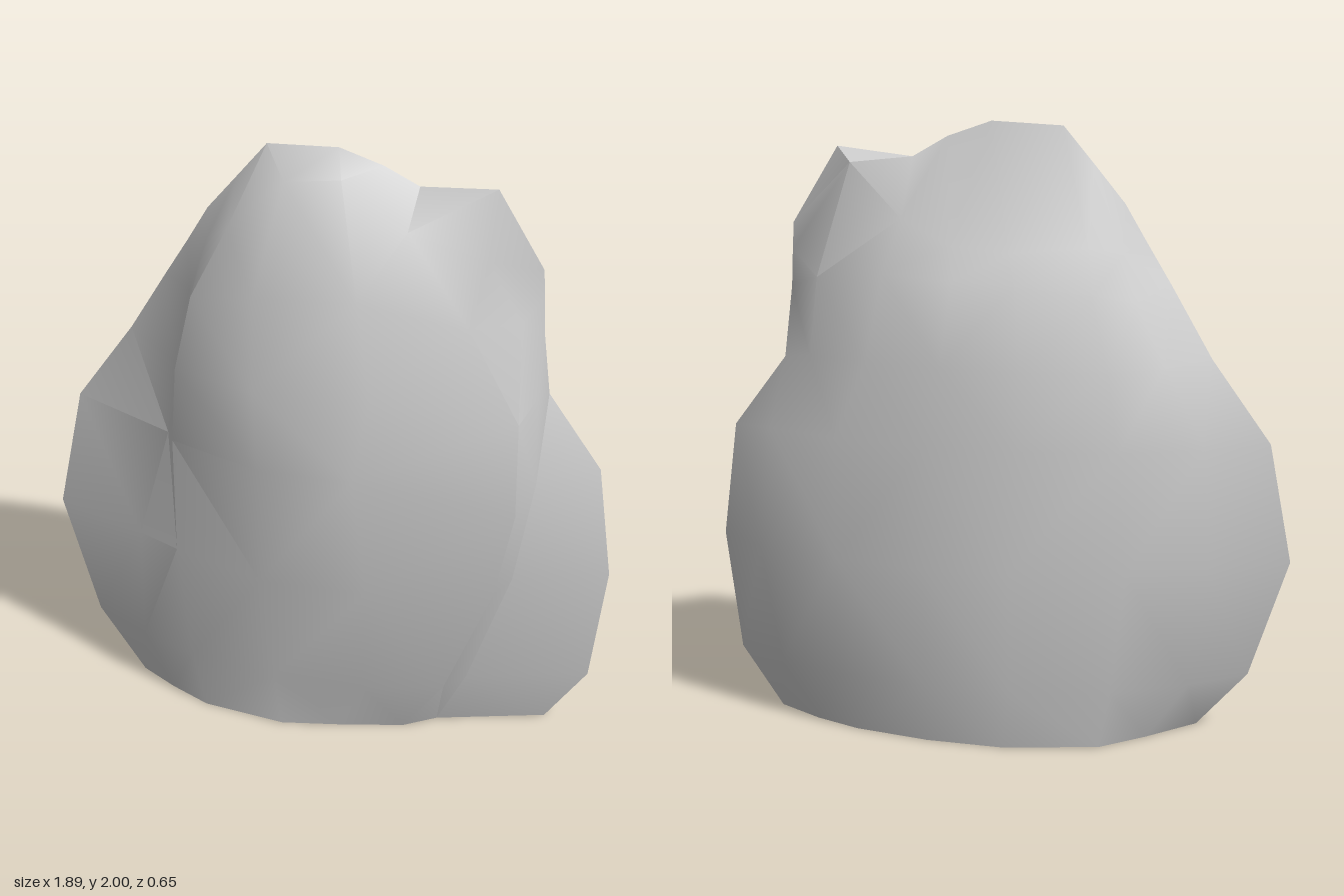
import * as THREE from 'three';
import { toCreasedNormals } from 'three/addons/utils/BufferGeometryUtils.js';

const stone = new THREE.MeshStandardMaterial({ color: 0xcccccc });
stone.name = 'stone grey';

// Outer rim of the slab, from the ground up on either side, then across the summit
const leftRim = [
  [-0.65, 0, 0.05], [-0.82, 0.2, 0.01], [-0.95, 0.6, -0.02], [-0.88, 1.0, -0.06],
  [-0.69, 1.27, -0.07], [-0.55, 1.5, -0.03], [-0.47, 1.63, -0.02],
];
const rightRim = [
  [0.75, 0, -0.03], [0.89, 0.2, -0.02], [0.94, 0.6, -0.02], [0.89, 0.98, -0.03],
  [0.71, 1.22, -0.05], [0.69, 1.45, -0.02], [0.685, 1.57, -0.02],
];
const topRim = [
  [-0.4, 1.75, -0.02], [-0.3, 1.87, -0.01], [-0.2, 1.99, -0.01], [0.03, 2, -0.01],
  [0.17, 1.95, -0.02], [0.28, 1.885, -0.04], [0.53, 1.91, -0.02], [0.68, 1.66, -0.02],
];

// Cross-sections between the rims: a bulging slab with a step at each side
const frontRows = [
  [[-0.52, 0, 0.13], [-0.38, 0, 0.2], [-0.1, 0, 0.24], [0.1, 0, 0.2], [0.3, 0, 0.15], [0.4, 0, 0.08]],
  [[-0.62, 0.2, 0.12], [-0.42, 0.2, 0.21], [-0.12, 0.2, 0.26], [0.18, 0.2, 0.25], [0.44, 0.2, 0.18], [0.5, 0.2, 0.1]],
  [[-0.62, 0.6, 0.12], [-0.47, 0.6, 0.19], [-0.15, 0.6, 0.31], [0.2, 0.6, 0.3], [0.6, 0.6, 0.2], [0.64, 0.6, 0.09]],
  [[-0.51, 1, 0.12], [-0.48, 1, 0.17], [-0.15, 1.02, 0.325], [0.16, 1.02, 0.325], [0.66, 0.9, 0.2], [0.7, 0.95, 0.07]],
  [[-0.49, 1.25, 0.09], [-0.47, 1.25, 0.15], [-0.17, 1.28, 0.295], [0.2, 1.28, 0.28], [0.65, 1.2, 0.15], [0.69, 1.25, 0.05]],
  [[-0.44, 1.5, 0.07], [-0.42, 1.5, 0.12], [-0.18, 1.58, 0.24], [0.15, 1.6, 0.24], [0.48, 1.5, 0.13], [0.63, 1.5, 0.05]],
  [[-0.38, 1.68, 0.06], [-0.3, 1.74, 0.11], [-0.12, 1.91, 0.09], [0.06, 1.93, 0.08], [0.27, 1.78, 0.08], [0.52, 1.7, 0.05]],
];
// Rear: fuller below, with a ledge under the two summits
const backRows = [
  [[-0.5, 0, -0.1], [-0.36, 0, -0.22], [-0.05, 0, -0.28], [0.2, 0, -0.26], [0.45, 0, -0.2], [0.6, 0, -0.13]],
  [[-0.64, 0.2, -0.13], [-0.4, 0.2, -0.25], [-0.08, 0.2, -0.31], [0.2, 0.2, -0.3], [0.5, 0.2, -0.23], [0.72, 0.2, -0.13]],
  [[-0.7, 0.6, -0.15], [-0.45, 0.6, -0.26], [-0.08, 0.6, -0.325], [0.2, 0.6, -0.315], [0.5, 0.6, -0.25], [0.78, 0.6, -0.16]],
  [[-0.68, 1, -0.16], [-0.42, 1, -0.26], [-0.1, 1, -0.295], [0.2, 1, -0.29], [0.5, 1, -0.235], [0.74, 1, -0.14]],
  [[-0.55, 1.25, -0.15], [-0.38, 1.25, -0.22], [-0.1, 1.25, -0.275], [0.15, 1.25, -0.27], [0.4, 1.25, -0.22], [0.6, 1.25, -0.15]],
  [[-0.45, 1.45, -0.12], [-0.32, 1.48, -0.17], [-0.08, 1.51, -0.22], [0.12, 1.52, -0.225], [0.35, 1.53, -0.18], [0.58, 1.5, -0.12]],
  [[-0.4, 1.6, -0.08], [-0.3, 1.62, -0.125], [-0.05, 1.6, -0.15], [0.14, 1.62, -0.16], [0.3, 1.7, -0.13], [0.47, 1.87, -0.1]],
];

const toVectors = (row) => row.map((p) => new THREE.Vector3(...p));
const buildGrid = (rows) => [...rows.map((r, i) => toVectors([leftRim[i], ...r, rightRim[i]])), toVectors(topRim)];

// Skin a grid of points, splitting each quad along its shorter diagonal
function skin(name, rows) {
  const points = [];
  for (let r = 0; r + 1 < rows.length; r++) {
    for (let c = 0; c + 1 < rows[r].length; c++) {
      const [p, q, s, t] = [rows[r][c], rows[r][c + 1], rows[r + 1][c + 1], rows[r + 1][c]];
      const triangles = p.distanceTo(s) < q.distanceTo(t) ? [[p, q, s], [p, s, t]] : [[p, q, t], [q, s, t]];
      for (const [i, j, k] of triangles) {
        if (!i.equals(j) && !j.equals(k) && !k.equals(i)) points.push(i, j, k);
      }
    }
  }
  const geometry = new THREE.BufferGeometry().setFromPoints(points);
  const mesh = new THREE.Mesh(toCreasedNormals(geometry, 0.6), stone);
  mesh.name = name;
  return mesh;
}

export function createModel() {
  const rock = new THREE.Group();
  rock.name = 'rock';
  const front = buildGrid(frontRows);
  const back = buildGrid(backRows);
  rock.add(
    skin('frontFace', front),
    skin('rearFace', back.map((row) => [...row].reverse())),
    skin('base', [back[0], front[0]]),
  );
  return rock;
}
